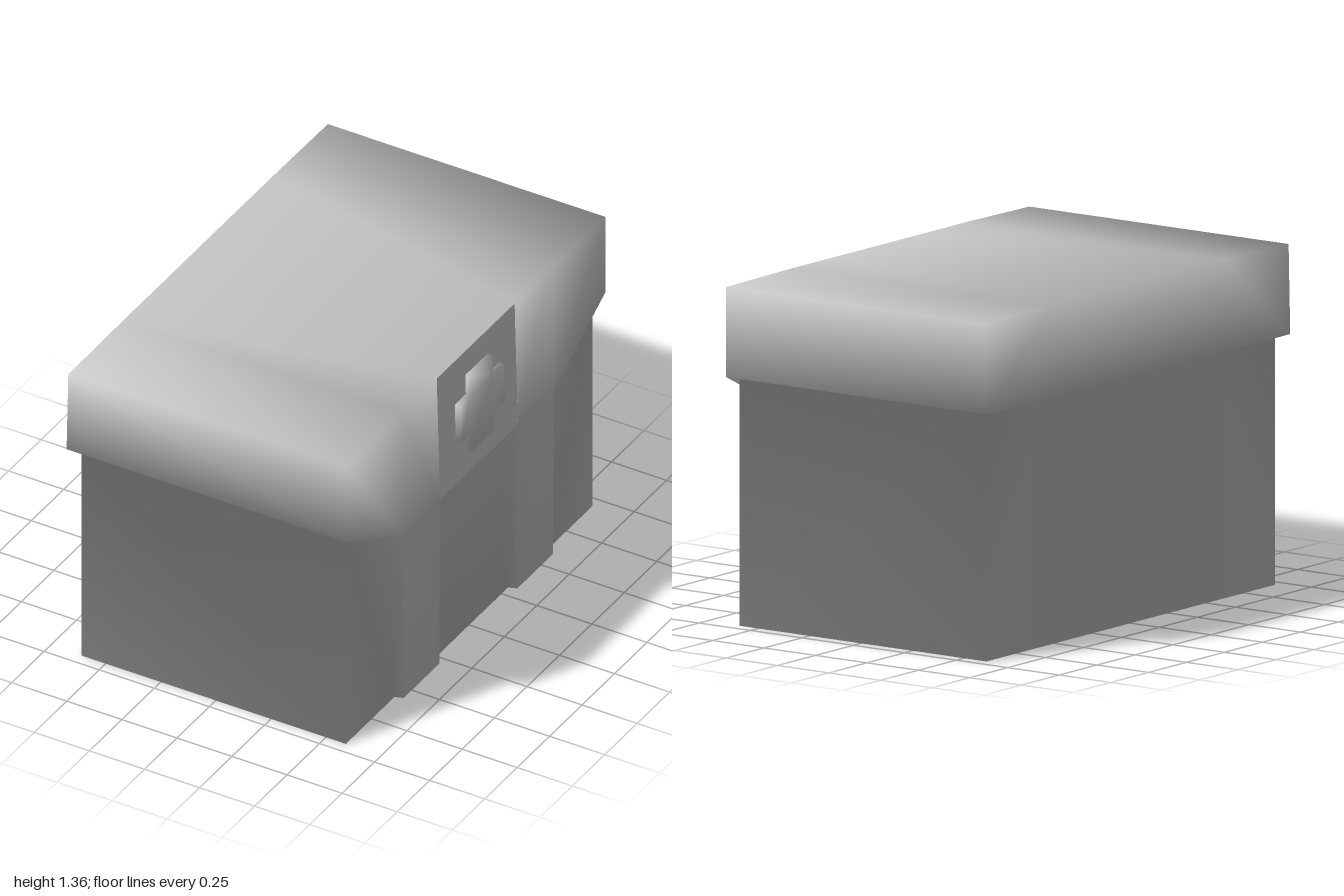
import * as THREE from 'three';
import { mergeVertices } from 'three/addons/utils/BufferGeometryUtils.js';

const material = new THREE.MeshStandardMaterial({ color: 0xcccccc });
const TOP = 1.36;

function addMesh(group, name, geometry) {
  const mesh = new THREE.Mesh(geometry, material);
  mesh.name = name;
  group.add(mesh);
}

// Shares corners and weights each face by its angle there, so shading flows over all edges
function smooth(geometry) {
  geometry.deleteAttribute('normal');
  geometry.deleteAttribute('uv');
  const merged = mergeVertices(geometry, 1e-4);
  const position = merged.attributes.position;
  const point = (i) => new THREE.Vector3().fromBufferAttribute(position, i);
  const normals = Array.from({ length: position.count }, () => new THREE.Vector3());
  const index = merged.index.array;
  for (let i = 0; i < index.length; i += 3) {
    for (let k = 0; k < 3; k++) {
      const corner = index[i + k];
      const next = point(index[i + (k + 1) % 3]).sub(point(corner));
      const last = point(index[i + (k + 2) % 3]).sub(point(corner));
      const angle = next.angleTo(last);
      normals[corner].addScaledVector(next.cross(last).normalize(), angle);
    }
  }
  const values = normals.flatMap((n) => n.normalize().toArray());
  merged.setAttribute('normal', new THREE.Float32BufferAttribute(values, 3));
  return merged;
}

// Slants the entrance face outwards towards the bottom
function lean(geometry) {
  const p = geometry.attributes.position;
  for (let i = 0; i < p.count; i++) p.setX(i, p.getX(i) + (TOP - p.getY(i)) * 0.026);
  return geometry;
}

// Walls, roof cap and entrance pillars as one skin: half of it, mirrored in z
function shellGeometry() {
  const v = {
    // Roof, upper edge
    M: [-0.64, TOP, 0.575], B: [-0.64, 1.355, 1], C: [0.62, 1.355, 1],
    D: [0.62, TOP, 0.575], E: [0.62, TOP, 0.3],
    // Roof, lower edge
    m: [-0.655, 0.997, 0.575], b: [-0.648, 0.997, 1], c: [0.62, 0.997, 1],
    d: [0.635, 0.79, 0.575], e: [0.635, 0.79, 0.3],
    // Pillar foot
    p: [0.632, 0.01, 0.575], q: [0.632, 0.01, 0.3],
    // Wall, upper edge
    n: [-0.61, 0.997, 0.575], j: [-0.61, 0.997, 0.95], w: [0.59, 0.997, 0.95],
    x: [0.59, 0.79, 0.575], y: [0.59, 0.79, 0.3],
    // Wall, lower edge
    k: [-0.61, 0, 0.575], l: [-0.61, 0, 0.95], r: [0.59, 0, 0.95],
    s: [0.59, 0, 0.575], t: [0.59, 0, 0.3],
  };
  const halfFaces = [
    'MBCD', 'MDE',                          // roof top
    'MmbB', 'BbcC', 'CcdD', 'DdeE', 'dpqe', // roof sides and pillar front
    'mnjb', 'bjwc', 'cwxd',                 // underside of the overhang
    'nklj', 'jlrw', 'wrsx',                 // walls
    'dxsp', 'pstq', 'eqty',                 // pillar edges
    'lksr', 'kts',                          // floor
  ];
  // Edges joined straight across to their mirror image:
  // top, rear of roof, rear overhang, rear wall, floor, entrance wall and its ceiling
  const spans = ['ME', 'mM', 'nm', 'kn', 'tk', 'yt', 'ey'];

  const positions = [];
  const mirrored = ([x, y, z]) => [x, y, -z];
  const addFace = (points) => {
    for (let i = 1; i < points.length - 1; i++) {
      positions.push(...points[0], ...points[i], ...points[i + 1]);
    }
  };
  for (const face of halfFaces) {
    const points = [...face].map((name) => v[name]);
    addFace(points);
    addFace([points[0], ...points.slice(1).reverse()].map(mirrored));
  }
  for (const [from, to] of spans) {
    addFace([v[from], v[to], mirrored(v[to]), mirrored(v[from])]);
  }
  const geometry = new THREE.BufferGeometry();
  geometry.setAttribute('position', new THREE.Float32BufferAttribute(positions, 3));
  return smooth(geometry);
}

// Plus-shaped sign, extruded towards +x
function crossGeometry() {
  const a = 0.085, b = 0.17;
  const outline = [
    [-a, -0.175], [a, -0.175], [a, -0.09], [b, -0.09], [b, 0.085], [a, 0.085],
    [a, 0.175], [-a, 0.175], [-a, 0.085], [-b, 0.085], [-b, -0.09], [-a, -0.09],
  ].map(([x, y]) => new THREE.Vector2(x, y));
  const geometry = new THREE.ExtrudeGeometry(new THREE.Shape(outline), { depth: 0.035, bevelEnabled: false });
  geometry.rotateY(Math.PI / 2).translate(0.608, 1.075, 0);
  return smooth(lean(geometry));
}

export function createModel() {
  const model = new THREE.Group();
  model.name = 'building';

  // Walls, roof and pillars
  addMesh(model, 'wallsRoofAndPillars', shellGeometry());

  // Flat panel over the entrance
  const panel = new THREE.PlaneGeometry(0.6, TOP - 0.79);
  panel.rotateY(Math.PI / 2).translate(0.62, (TOP + 0.79) / 2, 0);
  addMesh(model, 'entrancePanel', lean(panel));

  // Sign on the panel
  addMesh(model, 'crossSign', crossGeometry());

  return model;
}
